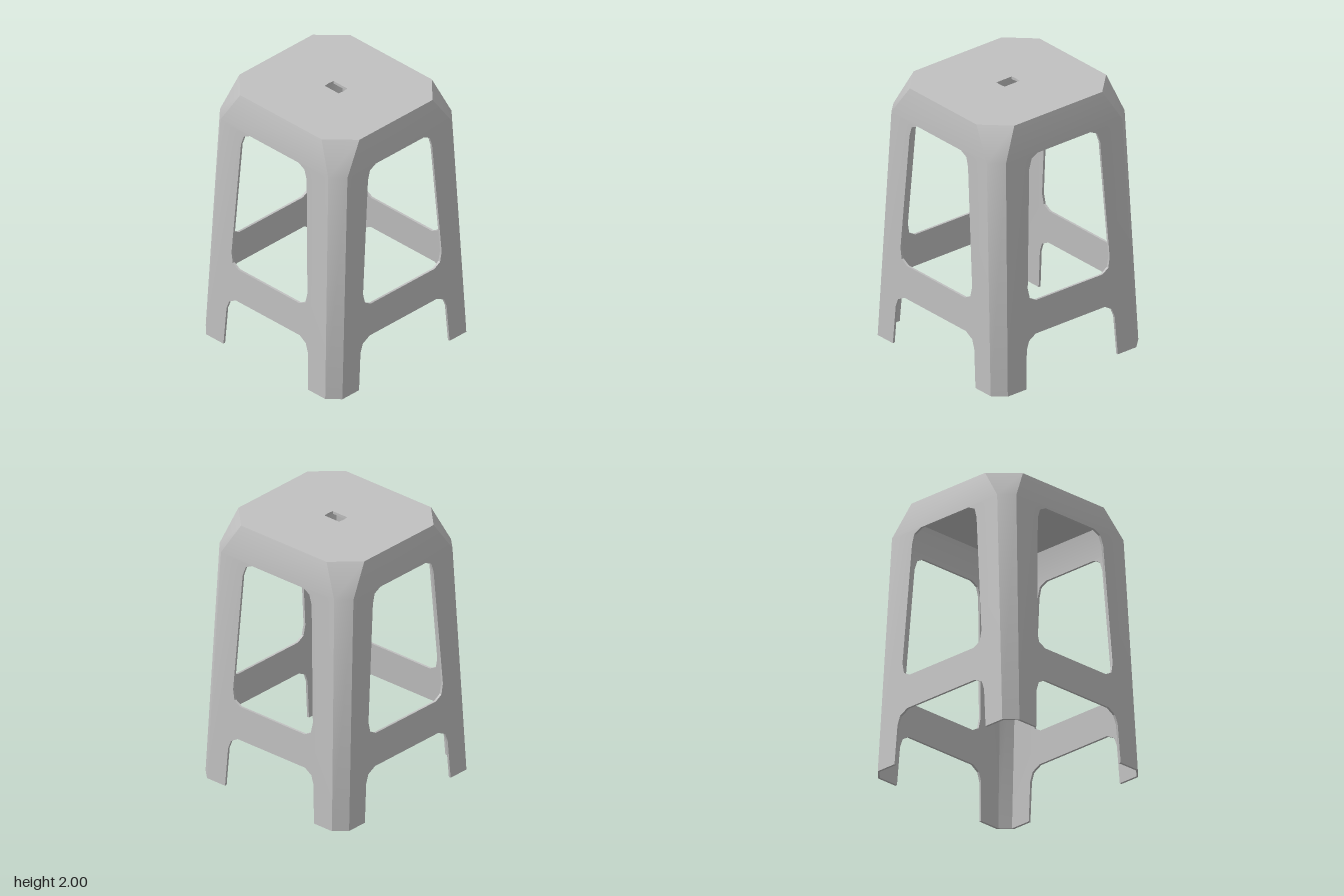
import * as THREE from 'three';
import { mergeGeometries, toCreasedNormals } from 'three/addons/utils/BufferGeometryUtils.js';

const T = 0.017;                 // wall thickness
const LEVELS = [0, 1.77, 2];     // floor, shoulder, seat

// Each wall: half width and outward distance at every level, plus its cutouts
const FRONT = {
  half: [0.585, 0.53, 0.4], out: [0.692, 0.607, 0.543],
  arch: [[0.416, 0], [0.4, 0.295], [0.376, 0.36], [0.315, 0.397]],
  opening: [[0.3, 0.65], [0.357, 0.682], [0.373, 0.76], [0.323, 1.66], [0.298, 1.733], [0.24, 1.763]],
};
const SIDE = {
  half: [0.61, 0.515, 0.36], out: [0.672, 0.627, 0.59],
  arch: [[0.446, 0], [0.424, 0.295], [0.4, 0.36], [0.33, 0.397]],
  opening: [[0.313, 0.65], [0.37, 0.682], [0.387, 0.76], [0.316, 1.66], [0.295, 1.733], [0.235, 1.763]],
};

const mirrorLeft = (pts) => pts.map(([x, y]) => [-x, y]);
const toVectors = (pts) => pts.map(([x, y]) => new THREE.Vector2(x, y));

// Outer and inner skins between four-point sections [outer, outer, inner, inner]
function loftSkins(sections, capBottom) {
  const pos = [];
  const tri = (a, b, c) => pos.push(...a, ...b, ...c);
  for (let s = 0; s + 1 < sections.length; s++) {
    const lo = sections[s], hi = sections[s + 1];
    for (const i of [0, 2]) {
      tri(lo[i], lo[i + 1], hi[i + 1]);
      tri(lo[i], hi[i + 1], hi[i]);
    }
  }
  if (capBottom) {
    const [a, b, c, d] = sections[0];
    tri(a, c, b);
    tri(a, d, c);
  }
  const geo = new THREE.BufferGeometry();
  geo.setAttribute('position', new THREE.Float32BufferAttribute(pos, 3));
  return geo;
}

// Leaning lower wall with leg arch and window opening
function lowerWall({ half, out, arch, opening }) {
  const shape = new THREE.Shape(toVectors([
    [-half[0], 0], ...mirrorLeft(arch), ...[...arch].reverse(),
    [half[0], 0], [half[1], LEVELS[1]], [-half[1], LEVELS[1]],
  ]));
  shape.holes.push(new THREE.Path(toVectors([...opening, ...mirrorLeft(opening).reverse()])));
  const geo = new THREE.ExtrudeGeometry(shape, { depth: T, bevelEnabled: false });
  geo.deleteAttribute('uv');
  geo.deleteAttribute('normal');
  const p = geo.attributes.position;
  for (let i = 0; i < p.count; i++) {
    const lean = THREE.MathUtils.lerp(out[0], out[1], p.getY(i) / LEVELS[1]);
    p.setZ(i, p.getZ(i) + lean - T);
  }
  return geo;
}

// Sloping band between shoulder and seat
function upperWall({ half, out }) {
  return loftSkins([1, 2].map((k) => {
    const h = half[k], o = out[k], y = LEVELS[k];
    return [[-h, y, o], [h, y, o], [h, y, o - T], [-h, y, o - T]];
  }), false);
}

// Chamfered corner running the full height
function corner(sx, sz) {
  return loftSkins(LEVELS.map((y, k) => {
    const fx = FRONT.half[k], fz = FRONT.out[k];
    const rx = SIDE.out[k], rz = SIDE.half[k];
    const a = [sx * fx, y, sz * fz], aIn = [sx * fx, y, sz * (fz - T)];
    const b = [sx * rx, y, sz * rz], bIn = [sx * (rx - T), y, sz * rz];
    return sx * sz > 0 ? [a, b, bIn, aIn] : [b, a, aIn, bIn];
  }), true);
}

// Flat eight-sided top with a small finger hole
function seatGeometry() {
  const thick = 0.02;
  const fx = FRONT.half[2], fz = FRONT.out[2], rx = SIDE.out[2], rz = SIDE.half[2];
  const shape = new THREE.Shape(toVectors([
    [fx, -fz], [rx, -rz], [rx, rz], [fx, fz], [-fx, fz], [-rx, rz], [-rx, -rz], [-fx, -fz],
  ]));
  shape.holes.push(new THREE.Path(toVectors([
    [0.068, -0.042], [0.073, 0], [0.068, 0.044], [-0.068, 0.044], [-0.073, 0], [-0.068, -0.042],
  ])));
  return new THREE.ExtrudeGeometry(shape, { depth: thick, bevelEnabled: false })
    .rotateX(-Math.PI / 2)
    .translate(0, LEVELS[2] - thick, 0);
}

export function createModel() {
  const model = new THREE.Group();
  model.name = 'stool';
  const plastic = new THREE.MeshStandardMaterial({ color: 0xc0c0c0 });
  plastic.name = 'grey plastic';

  // Four walls and four corners joined into one shell
  const parts = [];
  for (let k = 0; k < 4; k++) {
    const wall = k % 2 ? SIDE : FRONT;
    for (const geo of [lowerWall(wall), upperWall(wall)]) {
      parts.push(geo.rotateY(k * Math.PI / 2));
    }
  }
  for (const sx of [-1, 1]) for (const sz of [-1, 1]) parts.push(corner(sx, sz));

  const frame = new THREE.Mesh(toCreasedNormals(mergeGeometries(parts), 0.6), plastic);
  frame.name = 'legFrame';
  const seat = new THREE.Mesh(seatGeometry(), plastic);
  seat.name = 'seat';
  model.add(frame, seat);
  return model;
}
